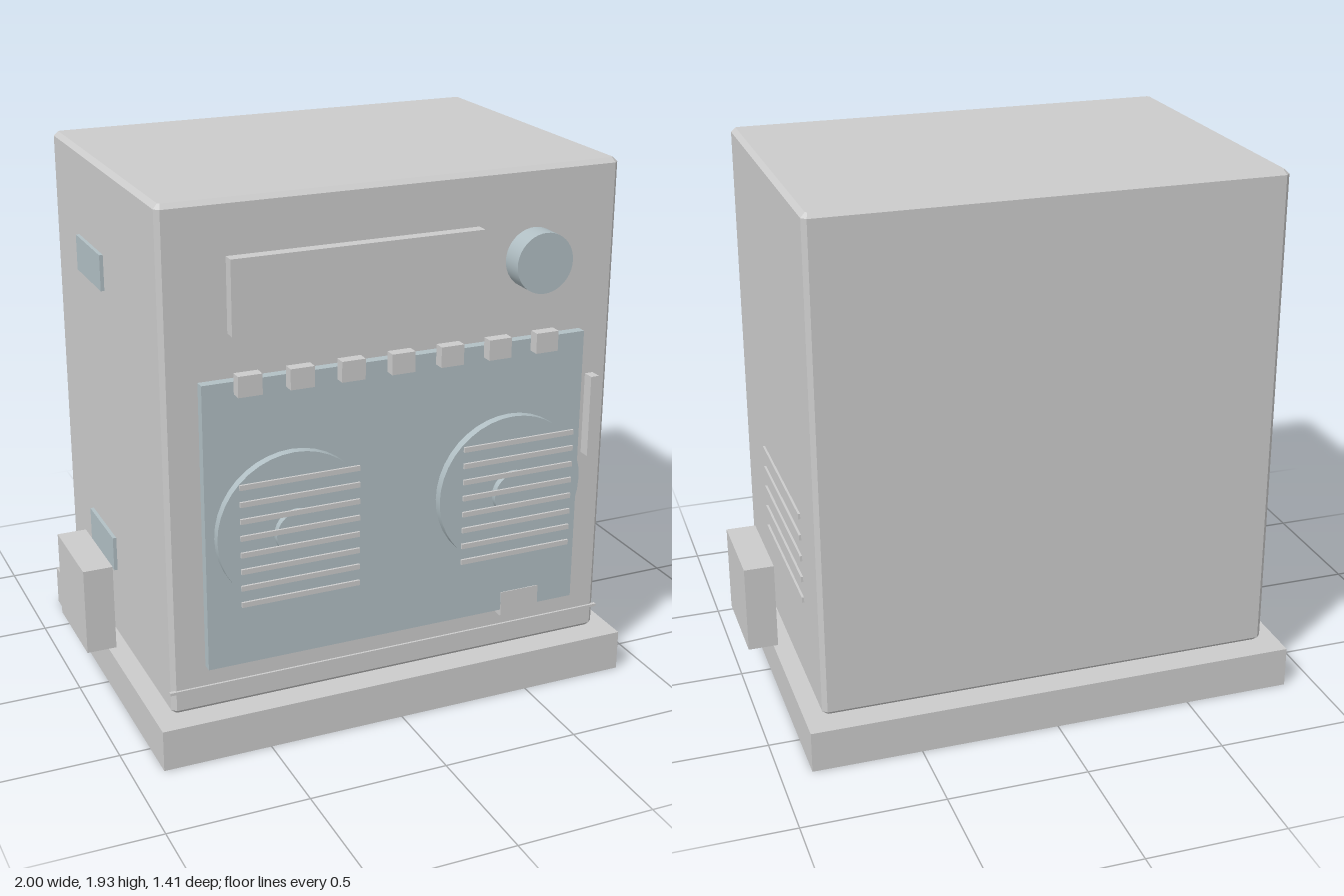
import * as THREE from 'three';

const grey = new THREE.MeshStandardMaterial({ color: 0xcccccc });
const blue = new THREE.MeshStandardMaterial({ color: 0xb1bfc4 });

export function createModel() {
  const model = new THREE.Group();

  const add = (name, geometry, material = grey, parent = model) => {
    const mesh = new THREE.Mesh(geometry, material);
    mesh.name = name;
    parent.add(mesh);
    return mesh;
  };
  // Box given by its extents along each axis
  const box = (name, [x0, x1], [y0, y1], [z0, z1], material, parent) =>
    add(name, new THREE.BoxGeometry(x1 - x0, y1 - y0, z1 - z0), material, parent)
      .position.set((x0 + x1) / 2, (y0 + y1) / 2, (z0 + z1) / 2);
  // Disc facing the front
  const disc = (name, x, y, r, [z0, z1], material, parent) =>
    add(name, new THREE.CylinderGeometry(r, r, z1 - z0, 40).rotateX(Math.PI / 2), material, parent)
      .position.set(x, y, (z0 + z1) / 2);

  // Plinth
  box('base', [-0.89, 0.89], [0, 0.15], [-0.705, 0.653]);

  // Cabinet: rectangle extruded upward with a narrow chamfer on every edge
  const c = 0.016, hx = 0.827, hz = 0.595, bottom = 0.152, top = 1.935;
  const outline = new THREE.Shape([
    [-hx + c, -hz], [hx - c, -hz], [hx, -hz + c], [hx, hz - c],
    [hx - c, hz], [-hx + c, hz], [-hx, hz - c], [-hx, -hz + c],
  ].map(([x, y]) => new THREE.Vector2(x, y)));
  const cabinet = new THREE.ExtrudeGeometry(outline, {
    depth: top - bottom - 2 * c, bevelEnabled: true, bevelSegments: 1,
    bevelThickness: c, bevelSize: c, bevelOffset: -c,
  }).rotateX(-Math.PI / 2);
  add('cabinet', cabinet).position.set(0, bottom + c, -0.025);

  // Front controls
  box('display', [-0.6, 0.295], [1.495, 1.75], [0.55, 0.613]);
  disc('knob', 0.506, 1.62, 0.106, [0.565, 0.652], blue);
  box('frontPanel', [-0.705, 0.7], [0.32, 1.343], [0.56, 0.605], blue);
  for (let i = 0; i < 7; i++) {
    const x = -0.556 + 0.1805 * i;
    box('button', [x - 0.042, x + 0.042], [1.303, 1.375], [0.613, 0.653]);
  }
  box('doorHandle', [0.735, 0.766], [0.87, 1.17], [0.565, 0.613]);
  box('latch', [0.41, 0.56], [0.295, 0.39], [0.56, 0.608]);
  box('labelPlate', [-0.665, -0.405], [0.316, 0.4], [0.56, 0.6]);
  box('trimStrip', [-0.835, 0.832], [0.235, 0.245], [0.565, 0.578]);

  // Speakers, each with a hub and a row of grille bars
  for (const x of [-0.405, 0.405]) {
    const speaker = new THREE.Group();
    speaker.name = 'speaker';
    model.add(speaker);
    disc('speakerCone', x, 0.812, 0.275, [0.622, 0.653], blue, speaker);
    disc('speakerHub', x, 0.812, 0.081, [0.668, 0.692], blue, speaker);
    for (let i = 0; i < 8; i++) {
      const y = 0.595 + 0.06 * i;
      box('grilleBar', [x - 0.212, x + 0.212], [y - 0.009, y + 0.009], [0.698, 0.706], grey, speaker);
    }
  }

  // Vent slats on the left side
  for (let i = 0; i < 5; i++) {
    const y = 0.485 + 0.0805 * i;
    box('ventSlat', [0.815, 0.835], [y - 0.01, y + 0.01], [-0.385, 0.213]);
  }

  // Hinge plates on the right side
  for (const y of [0.498, 1.558])
    box('hingePlate', [-0.84, -0.815], [y - 0.064, y + 0.064], [-0.32, -0.03], blue);

  // Blocks beside the plinth
  for (const s of [-1, 1])
    box('sideBlock', s < 0 ? [-1, -0.893] : [0.893, 1], [0.215, 0.535], [-0.2, 0.14]);

  return model;
}
